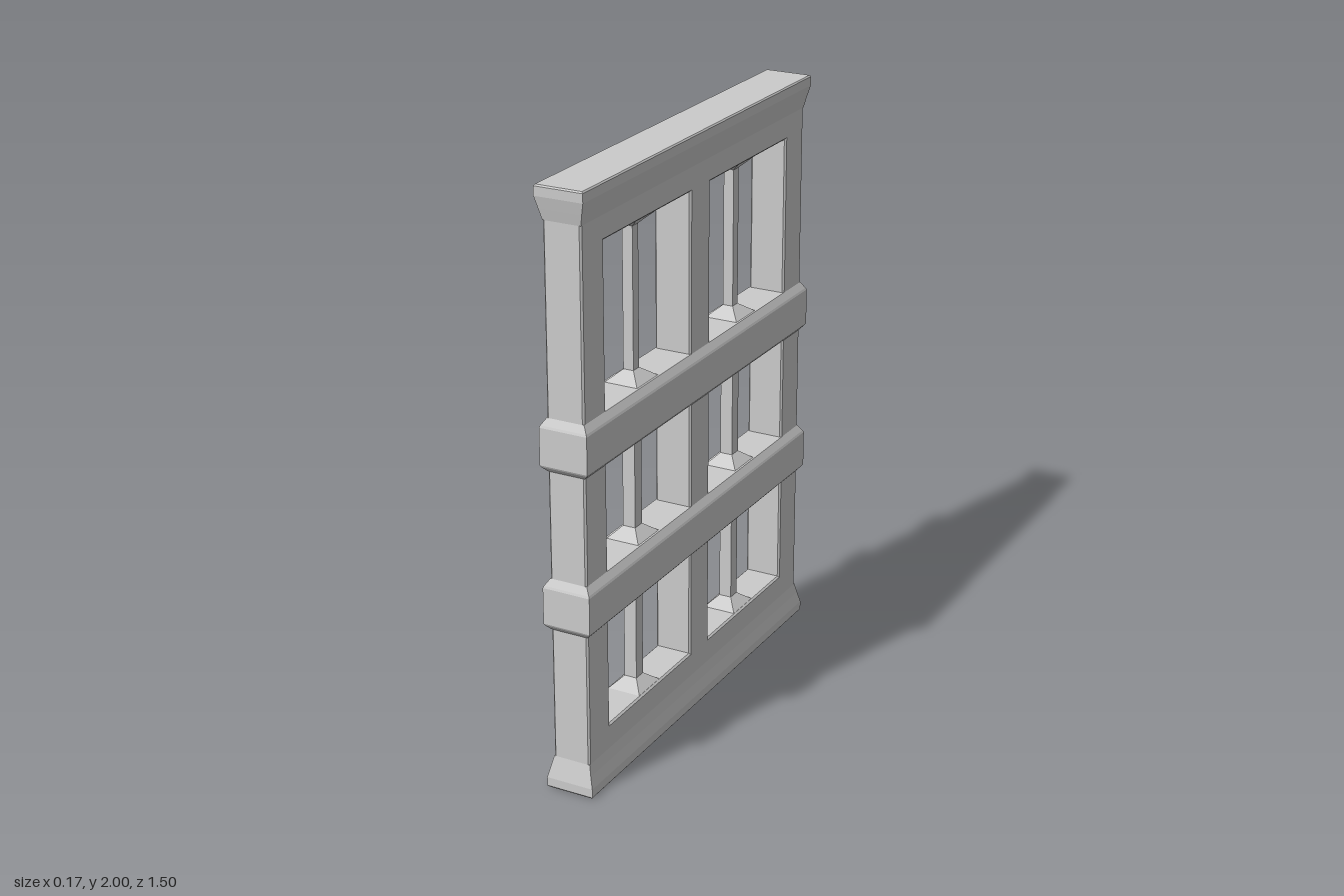
import * as THREE from 'three';

const material = new THREE.MeshStandardMaterial({ color: 0xcccccc, flatShading: true });

// Stack of rectangular sections, each [y, halfX, halfZ]
function sectionStack(name, sections) {
  const n = sections.length - 1;
  const geo = new THREE.BoxGeometry(2, 1, 2, 1, n, 1);
  const p = geo.attributes.position;
  for (let i = 0; i < p.count; i++) {
    const [y, hx, hz] = sections[Math.round((p.getY(i) + 0.5) * n)];
    p.setXYZ(i, p.getX(i) * hx, y, p.getZ(i) * hz);
  }
  geo.computeVertexNormals();
  const mesh = new THREE.Mesh(geo, material);
  mesh.name = name;
  return mesh;
}

function rectangle(path, z0, z1, y0, y1) {
  path.moveTo(z0, y0);
  path.lineTo(z1, y0);
  path.lineTo(z1, y1);
  path.lineTo(z0, y1);
  path.closePath();
  return path;
}

export function createModel() {
  const group = new THREE.Group();
  group.name = 'windowLattice';
  const HX = 0.065, HZ = 0.735, WX = 0.083, WZ = 0.752;
  // Opening rows: bottom, top, bar half width
  const rows = [[0.195, 0.56, 0.022], [0.735, 1.095, 0.022], [1.27, 1.81, 0.018]];

  // Frame with six openings and softened edges
  const shape = rectangle(new THREE.Shape(), -HZ, HZ, 0.03, 1.97);
  for (const [y0, y1] of rows) {
    for (const [z0, z1] of [[-0.605, -0.065], [0.065, 0.605]]) {
      shape.holes.push(rectangle(new THREE.Path(), z0, z1, y0, y1));
    }
  }
  const bevel = 0.006;
  const frameGeo = new THREE.ExtrudeGeometry(shape, {
    depth: 2 * (HX - bevel), bevelSize: bevel, bevelThickness: bevel,
    bevelOffset: -bevel, bevelSegments: 1,
  });
  frameGeo.translate(0, 0, -(HX - bevel)).rotateY(-Math.PI / 2);
  const frame = new THREE.Mesh(frameGeo, material);
  frame.name = 'frame';
  group.add(frame);

  // Flared sill and head
  const flare = [
    [0, WX - 0.004, WZ - 0.004], [0.005, WX, WZ], [0.035, WX, WZ],
    [0.075, 0.073, 0.743], [0.11, HX, HZ],
  ];
  group.add(sectionStack('sill', flare));
  group.add(sectionStack('head', flare.map(([y, x, z]) => [2 - y, x, z]).reverse()));

  // Chamfered cross rails
  for (const [y0, y1] of [[0.56, 0.735], [1.095, 1.27]]) {
    group.add(sectionStack('crossRail', [
      [y0, HX, HZ], [y0 + 0.016, WX - 0.003, WZ - 0.003], [y0 + 0.022, WX, WZ],
      [y1 - 0.03, WX, WZ], [y1 - 0.023, WX - 0.003, WZ - 0.003], [y1, HX, HZ],
    ]));
  }

  // Thin bars with flared feet and caps
  for (const [y0, y1, w] of rows) {
    for (const side of [-1, 1]) {
      const bar = sectionStack('bar', [
        [y0 - 0.01, 0.058, 0.067], [y0, 0.058, 0.067], [y0 + 0.035, w, w],
        [y1 - 0.035, w, w], [y1, 0.058, 0.067], [y1 + 0.01, 0.058, 0.067],
      ]);
      bar.position.z = side * 0.335;
      group.add(bar);
    }
  }
  return group;
}
